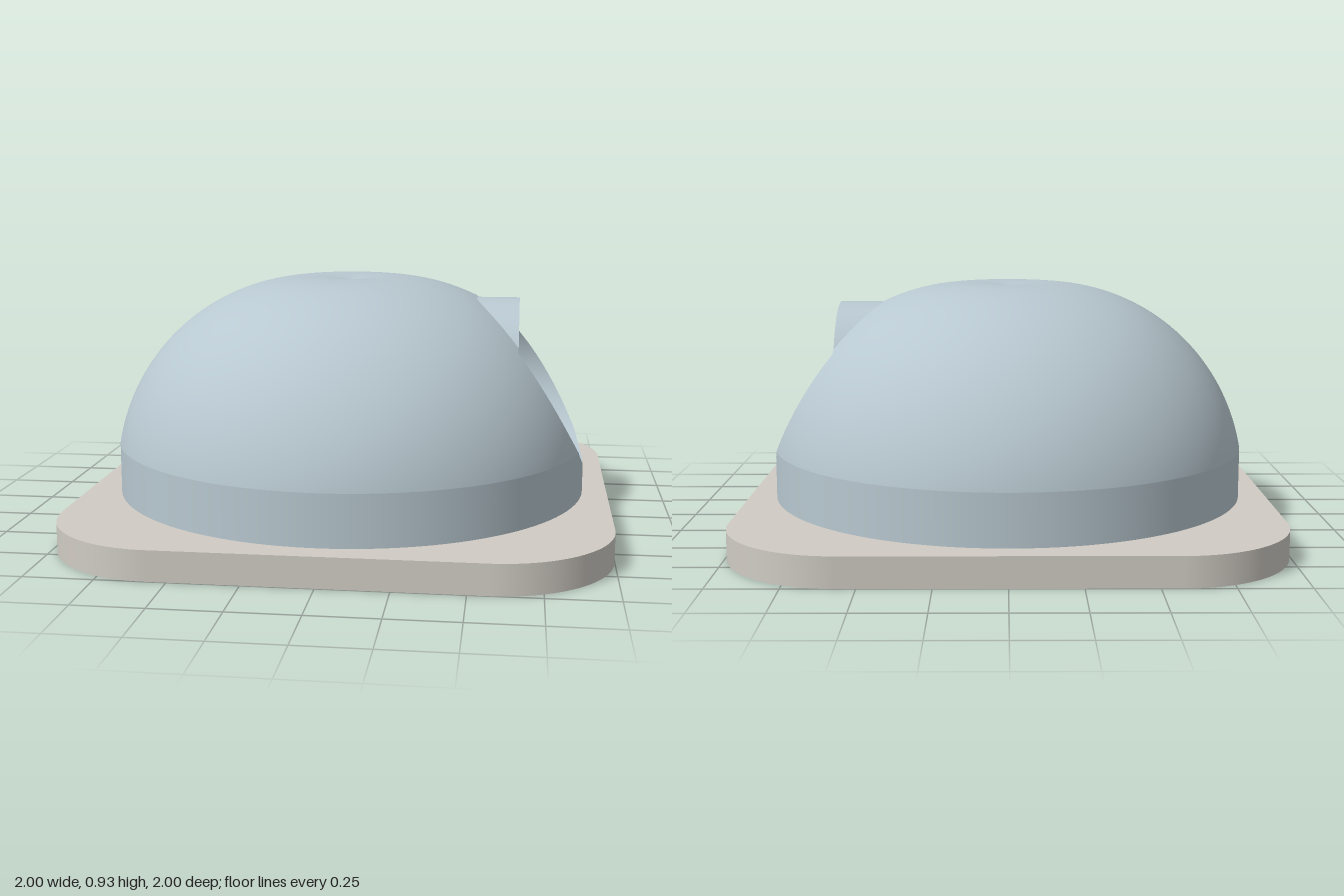
import * as THREE from 'three';

const paleBlue = new THREE.MeshStandardMaterial({ color: 0xb8c8d0 });
paleBlue.name = 'paleBlue';
const warmGrey = new THREE.MeshStandardMaterial({ color: 0xd0ccc4 });
warmGrey.name = 'warmGrey';

// dome: an arc of radius R, centred off the axis, revolved about y
const WALL_R = 0.908, BASE_Y = 0.11, SHOULDER_Y = 0.3, TOP_Y = 0.93, C = 0.155;
const RISE = TOP_Y - SHOULDER_Y;
const R = ((WALL_R - C) ** 2 + RISE ** 2) / (2 * RISE);
const ARC_Y = TOP_Y - R;
// round side port along +x
const PORT_Y = 0.55, PORT_R = 0.33, PLUG_R = 0.305, FLOOR_X = 0.65;

const domeRadius = y => y < SHOULDER_Y ? WALL_R : C + Math.sqrt(Math.max(0, R * R - (y - ARC_Y) ** 2));
const surfaceX = (y, z) => Math.sqrt(Math.max(0, domeRadius(y) ** 2 - z * z));
// positive outside the port cut
const outsidePort = p => Math.max(FLOOR_X - p.x, Math.hypot(p.y - PORT_Y, p.z) - PORT_R);

// smooth surface over a (u, v) grid, trimmed where keep(point) is negative
function patch(point, normal, u0, u1, nu, v0, v1, nv, keep = () => 1) {
  const pos = [], nor = [];
  const at = (u, v) => ({ u, v, k: keep(point(u, v)) });
  const emit = a => {
    pos.push(...point(a.u, a.v).toArray());
    nor.push(...normal(a.u, a.v).toArray());
  };
  const triangle = corners => {
    const poly = [];
    corners.forEach((a, i) => {
      const b = corners[(i + 1) % 3];
      if (a.k >= 0) poly.push(a);
      if ((a.k >= 0) !== (b.k >= 0)) {
        const t = a.k / (a.k - b.k);
        poly.push({ u: a.u + (b.u - a.u) * t, v: a.v + (b.v - a.v) * t });
      }
    });
    for (let i = 1; i + 1 < poly.length; i++) [poly[0], poly[i], poly[i + 1]].forEach(emit);
  };
  for (let i = 0; i < nu; i++) {
    for (let j = 0; j < nv; j++) {
      const ua = u0 + (u1 - u0) * i / nu, ub = u0 + (u1 - u0) * (i + 1) / nu;
      const va = v0 + (v1 - v0) * j / nv, vb = v0 + (v1 - v0) * (j + 1) / nv;
      const a = at(ua, va), b = at(ub, va), c = at(ub, vb), d = at(ua, vb);
      triangle([a, b, c]);
      triangle([a, c, d]);
    }
  }
  const g = new THREE.BufferGeometry();
  g.setAttribute('position', new THREE.Float32BufferAttribute(pos, 3));
  g.setAttribute('normal', new THREE.Float32BufferAttribute(nor, 3));
  return g;
}

const turn = (r, y, u) => new THREE.Vector3(r * Math.sin(u), y, r * Math.cos(u));

export function createModel() {
  const model = new THREE.Group();
  const add = (name, geometry, material) => {
    const mesh = new THREE.Mesh(geometry, material);
    mesh.name = name;
    model.add(mesh);
    return mesh;
  };
  const TAU = Math.PI * 2;

  // base plate with rounded corners
  const k = 0.43, s = 1 - k;
  const plate = new THREE.Shape();
  [[s, s], [-s, s], [-s, -s], [s, -s]].forEach(([x, y], i) =>
    plate.absarc(x, y, k, i * Math.PI / 2, (i + 1) * Math.PI / 2, false));
  plate.closePath();
  const base = new THREE.ExtrudeGeometry(plate, { depth: BASE_Y, bevelEnabled: false, curveSegments: 24 });
  base.rotateX(-Math.PI / 2);
  // smooth the normals of the plate's upright corners
  const bp = base.attributes.position, bn = base.attributes.normal;
  for (let i = 0; i < bp.count; i++) {
    if (Math.abs(bn.getY(i)) > 0.5) continue;
    const x = bp.getX(i), z = bp.getZ(i);
    const dx = x - THREE.MathUtils.clamp(x, -s, s), dz = z - THREE.MathUtils.clamp(z, -s, s);
    const l = Math.hypot(dx, dz);
    bn.setXYZ(i, dx / l, 0, dz / l);
  }
  add('basePlate', base, warmGrey);

  // upright wall and domed shell, both trimmed by the port
  add('lowerWall', patch(
    (u, v) => turn(WALL_R, v, u), u => turn(1, 0, u),
    0, TAU, 160, BASE_Y, SHOULDER_Y, 8, outsidePort), paleBlue);
  add('domeShell', patch(
    (u, v) => turn(C + R * Math.cos(v), ARC_Y + R * Math.sin(v), u),
    (u, v) => turn(Math.cos(v), Math.sin(v), u),
    0, TAU, 160, Math.asin((SHOULDER_Y - ARC_Y) / R), Math.acos(-C / R), 56, outsidePort), paleBlue);

  // inside wall of the port, running from its floor out to the shell
  add('portWall', patch(
    (t, v) => {
      const y = PORT_Y + PORT_R * Math.sin(t), z = PORT_R * Math.cos(t);
      return new THREE.Vector3(FLOOR_X + v * Math.max(0, surfaceX(y, z) - FLOOR_X), y, z);
    },
    t => new THREE.Vector3(0, -Math.sin(t), -Math.cos(t)),
    0, TAU, 180, 0, 1, 1), paleBlue);

  // flat port floor, narrowing to the plug where it leaves the shell
  const outline = [];
  for (let i = 0; i < 240; i++) {
    const t = i / 240 * TAU, c = Math.cos(t), n = Math.sin(t);
    const inside = surfaceX(PORT_Y + PORT_R * n, PORT_R * c) > FLOOR_X;
    const r = inside ? PORT_R : PLUG_R;
    outline.push(new THREE.Vector2(r * c, PORT_Y + r * n));
  }
  const floor = new THREE.ShapeGeometry(new THREE.Shape(outline));
  floor.rotateY(Math.PI / 2);
  floor.translate(FLOOR_X, 0, 0);
  add('portFloor', floor, paleBlue);

  // round plug behind the floor, standing out of the shell at the top
  const plug = new THREE.CylinderGeometry(PLUG_R, PLUG_R, 0.3, 96, 1, true);
  plug.rotateZ(Math.PI / 2);
  plug.translate(FLOOR_X - 0.15, PORT_Y, 0);
  add('portPlug', plug, paleBlue);

  return model;
}
